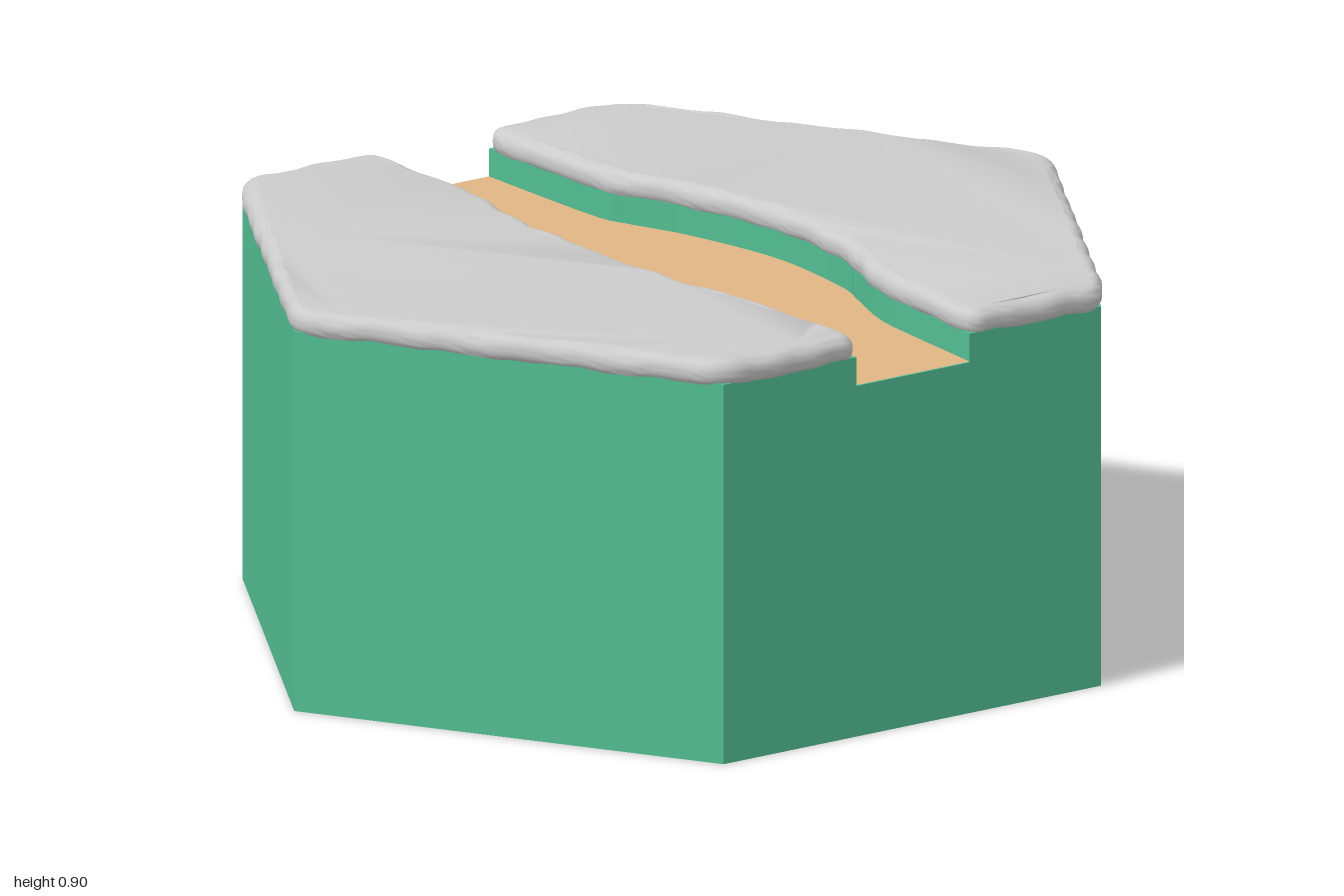
import * as THREE from 'three';
import { toCreasedNormals } from 'three/addons/utils/BufferGeometryUtils.js';

const W = Math.sqrt(3) / 2; // half width of the hexagon
const FLOOR = 0.78;

// Channel edges as [x, z] points
const FRONT_EDGE = [[-W, 0.155], [-0.6, 0.155], [-0.45, 0.165], [-0.25, 0.2], [0, 0.208],
  [0.25, 0.2], [0.5, 0.162], [0.7, 0.152], [W, 0.148]];
const BACK_EDGE = [[-W, -0.152], [-0.5, -0.156], [-0.4, -0.18], [-0.25, -0.235], [0, -0.282],
  [0.25, -0.265], [0.35, -0.235], [0.5, -0.185], [0.65, -0.168], [W, -0.152]];

const material = (color) => new THREE.MeshStandardMaterial({ color });
const green = material(0x52bd92);
const tan = material(0xe0b684);
const grey = material(0xcccccc);

const edgeCurve = (points) =>
  new THREE.SplineCurve(points.map(([x, z]) => new THREE.Vector2(x, z))).getPoints(48);

// Shapes are drawn in x/z and laid flat, so z is flipped here
const flatShape = (points) => new THREE.Shape(points.map((p) => new THREE.Vector2(p.x, -p.y)));

function extrudeUp(points, y0, y1) {
  const geometry = new THREE.ExtrudeGeometry(flatShape(points), { depth: y1 - y0, bevelEnabled: false });
  return geometry.rotateX(-Math.PI / 2).translate(0, y0, 0);
}

function addMesh(group, name, geometry, mat) {
  const mesh = new THREE.Mesh(geometry, mat);
  mesh.name = name;
  group.add(mesh);
}

// Half of the hexagon beyond a channel edge; side is +1 (front) or -1 (back)
function bankOutline(edge, side) {
  const v = (x, z) => new THREE.Vector2(x, z);
  return [...edgeCurve(edge), v(W, 0.5 * side), v(0, side), v(-W, 0.5 * side)];
}

// Slightly oversized outline with rounded corners and a wavering edge
function capOutline(edge, side) {
  const v = (x, z) => new THREE.Vector2(x, z);
  const w = W + 0.009;
  const r = 0.045;
  const inner = edgeCurve(edge).map((p) => v(p.x * w / W, p.y - 0.006 * side));
  const first = inner[0];
  const last = inner[inner.length - 1];
  const corners = [last, v(w, 0.505 * side), v(0, 1.01 * side), v(-w, 0.505 * side), first];
  const path = new THREE.CurvePath();
  const middle = inner.filter((p) => Math.abs(p.x) < w - r);
  let from = middle[middle.length - 1];
  path.add(new THREE.SplineCurve(middle));
  corners.forEach((c, i) => {
    const next = corners[i + 1] || middle[0];
    const a = c.clone().add(from.clone().sub(c).setLength(Math.min(r, from.distanceTo(c))));
    const b = c.clone().add(next.clone().sub(c).setLength(Math.min(r, next.distanceTo(c))));
    if (from.distanceTo(a) > 0.001) path.add(new THREE.LineCurve(from, a));
    path.add(new THREE.QuadraticBezierCurve(a, c, b));
    from = b;
  });
  if (from.distanceTo(middle[0]) > 0.001) path.add(new THREE.LineCurve(from, middle[0]));
  const points = path.getSpacedPoints(190);
  points.pop();
  return points.map((p) => {
    const wave = Math.sin(p.x * 31 + p.y * 17) + Math.sin(p.x * 53 - p.y * 61 + 2);
    return v(p.x + 0.0018 * wave, p.y + 0.0018 * Math.sin(p.x * 47 + p.y * 23 + side));
  });
}

// Pillow-edged slab with a gently uneven surface
function capGeometry(edge, side) {
  const bevel = 0.028;
  const geometry = new THREE.ExtrudeGeometry(flatShape(capOutline(edge, side)), {
    depth: 0.005, bevelThickness: bevel, bevelSize: bevel, bevelOffset: -bevel, bevelSegments: 5,
  });
  geometry.rotateX(-Math.PI / 2).translate(0, 0.832 + bevel, 0);
  const pos = geometry.attributes.position;
  for (let i = 0; i < pos.count; i++) {
    const x = pos.getX(i);
    const z = pos.getZ(i);
    pos.setY(i, pos.getY(i) + 0.0015 * (Math.sin(x * 37 + z * 29) + Math.sin(x * 19 - z * 43)));
  }
  return toCreasedNormals(geometry, 1);
}

export function createModel() {
  const group = new THREE.Group();
  group.name = 'hexTile';

  // Solid hexagonal block up to the channel floor
  const hexagon = Array.from({ length: 6 }, (_, i) => {
    const a = (i * Math.PI) / 3;
    return new THREE.Vector2(Math.sin(a), Math.cos(a));
  });
  addMesh(group, 'base', extrudeUp(hexagon, 0, FLOOR), green);

  // Raised banks with their caps
  for (const [name, edge, side] of [['front', FRONT_EDGE, 1], ['back', BACK_EDGE, -1]]) {
    addMesh(group, name + 'Bank', extrudeUp(bankOutline(edge, side), FLOOR, 0.844), green);
    addMesh(group, name + 'Cap', capGeometry(edge, side), grey);
  }

  // Channel floor between the banks
  const floor = new THREE.ShapeGeometry(
    flatShape([...edgeCurve(FRONT_EDGE), ...edgeCurve(BACK_EDGE).reverse()]));
  floor.rotateX(-Math.PI / 2).translate(0, FLOOR + 0.002, 0);
  addMesh(group, 'channelFloor', floor, tan);

  return group;
}
